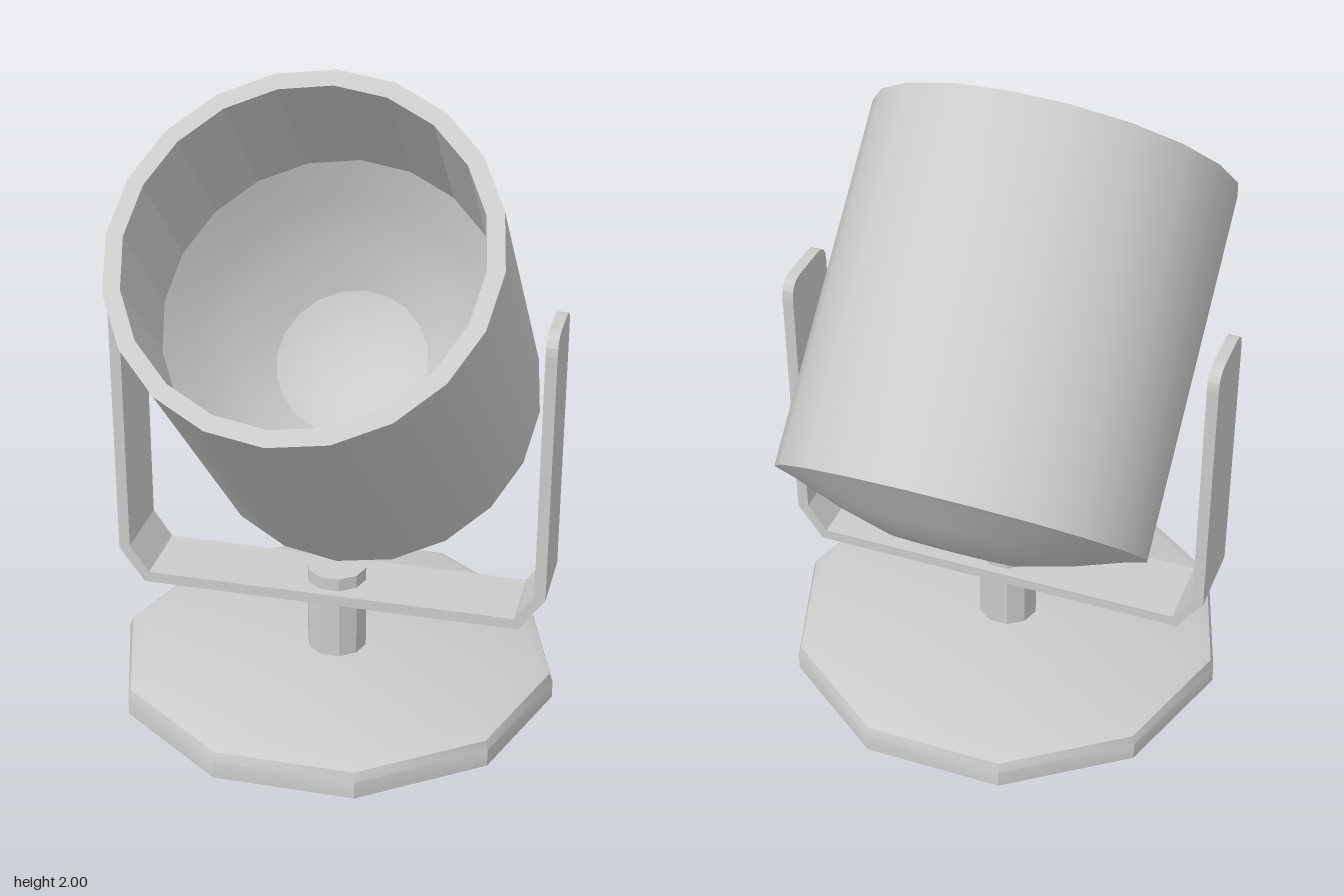
import * as THREE from 'three';
import { toCreasedNormals } from 'three/addons/utils/BufferGeometryUtils.js';

const grey = new THREE.MeshStandardMaterial({ color: 0xcccccc });
const faceted = new THREE.MeshStandardMaterial({ color: 0xcccccc, flatShading: true });
const CENTRE_Z = -0.005;

function addPart(parent, name, geometry, material = grey) {
  const mesh = new THREE.Mesh(geometry, material);
  mesh.name = name;
  parent.add(mesh);
  return mesh;
}

// Turned part with smooth shading across small angles and sharp edges elsewhere
function turned(profile, sides, start = 0) {
  const points = profile.map(([r, y]) => new THREE.Vector2(r, y));
  return toCreasedNormals(new THREE.LatheGeometry(points, sides, start), 0.6);
}

export function createModel() {
  const model = new THREE.Group();
  model.name = 'spotlight';

  // Ten-sided foot with a rounded upper edge
  const base = addPart(model, 'base', turned([
    [0, 0], [0.7, 0], [0.7, 0.055], [0.69, 0.085], [0.65, 0.103], [0, 0.103],
  ], 10, Math.PI / 2));
  base.position.z = CENTRE_Z;

  // Post running up through the bracket
  const post = addPart(model, 'post',
    new THREE.CylinderGeometry(0.095, 0.095, 0.29, 10, 1, false, Math.PI / 2), faceted);
  post.position.set(0, 0.24, CENTRE_Z);

  // Bracket: flat strap with bent corners and two upright arms
  const bracket = new THREE.Group();
  bracket.name = 'bracket';
  bracket.position.z = CENTRE_Z;
  model.add(bracket);

  const width = 0.24, thickness = 0.035, bendY = 0.42, topY = 1.29;
  const strap = new THREE.Shape([
    [-0.68, bendY], [-0.6, 0.307], [0.6, 0.307], [0.68, bendY],
    [0.645, bendY + 0.01], [0.585, 0.342], [-0.585, 0.342], [-0.645, bendY + 0.01],
  ].map(([x, y]) => new THREE.Vector2(x, y)));
  const strapGeometry = new THREE.ExtrudeGeometry(strap, { depth: width, bevelEnabled: false });
  strapGeometry.translate(0, 0, -width / 2);
  addPart(bracket, 'bracketStrap', strapGeometry);

  const h = width / 2, round = 0.06;
  const arm = new THREE.Shape();
  arm.moveTo(-h, bendY);
  arm.lineTo(h, bendY);
  arm.lineTo(h, topY - round);
  arm.quadraticCurveTo(h, topY, h - round, topY);
  arm.lineTo(-h + round, topY);
  arm.quadraticCurveTo(-h, topY, -h, topY - round);
  const armGeometry = new THREE.ExtrudeGeometry(arm, {
    depth: thickness, bevelEnabled: false, curveSegments: 4,
  });
  armGeometry.rotateY(Math.PI / 2).translate(-thickness / 2, 0, 0);
  for (const [name, side] of [['leftArm', 1], ['rightArm', -1]]) {
    addPart(bracket, name, armGeometry).position.x = side * (0.68 - thickness / 2);
  }

  // Lamp head, tilted up and forward
  const head = new THREE.Group();
  head.name = 'lampHead';
  head.position.y = 1.2;
  head.rotation.x = Math.PI / 4;
  model.add(head);

  const R = 0.566, inner = 0.515, sides = 20;
  // Housing: shallow domed back, straight wall and flat rim
  addPart(head, 'housing', turned([
    [0, -0.678], [0.19, -0.675], [0.35, -0.635], [0.5, -0.584],
    [R, -R], [R, R], [inner, R],
  ], sides));

  // Faceted inside wall
  addPart(head, 'innerWall', new THREE.LatheGeometry(
    [new THREE.Vector2(inner, R), new THREE.Vector2(inner, 0.09)], sides), faceted);

  // Bowl reflector with a small dish at its centre
  addPart(head, 'reflector', turned([
    [inner, 0.09], [0.44, -0.04], [0.35, -0.17], [0.24, -0.28],
  ], sides));
  addPart(head, 'reflectorDish', turned([
    [0.24, -0.28], [0.2, -0.3], [0.12, -0.325], [0, -0.335],
  ], sides));

  return model;
}
